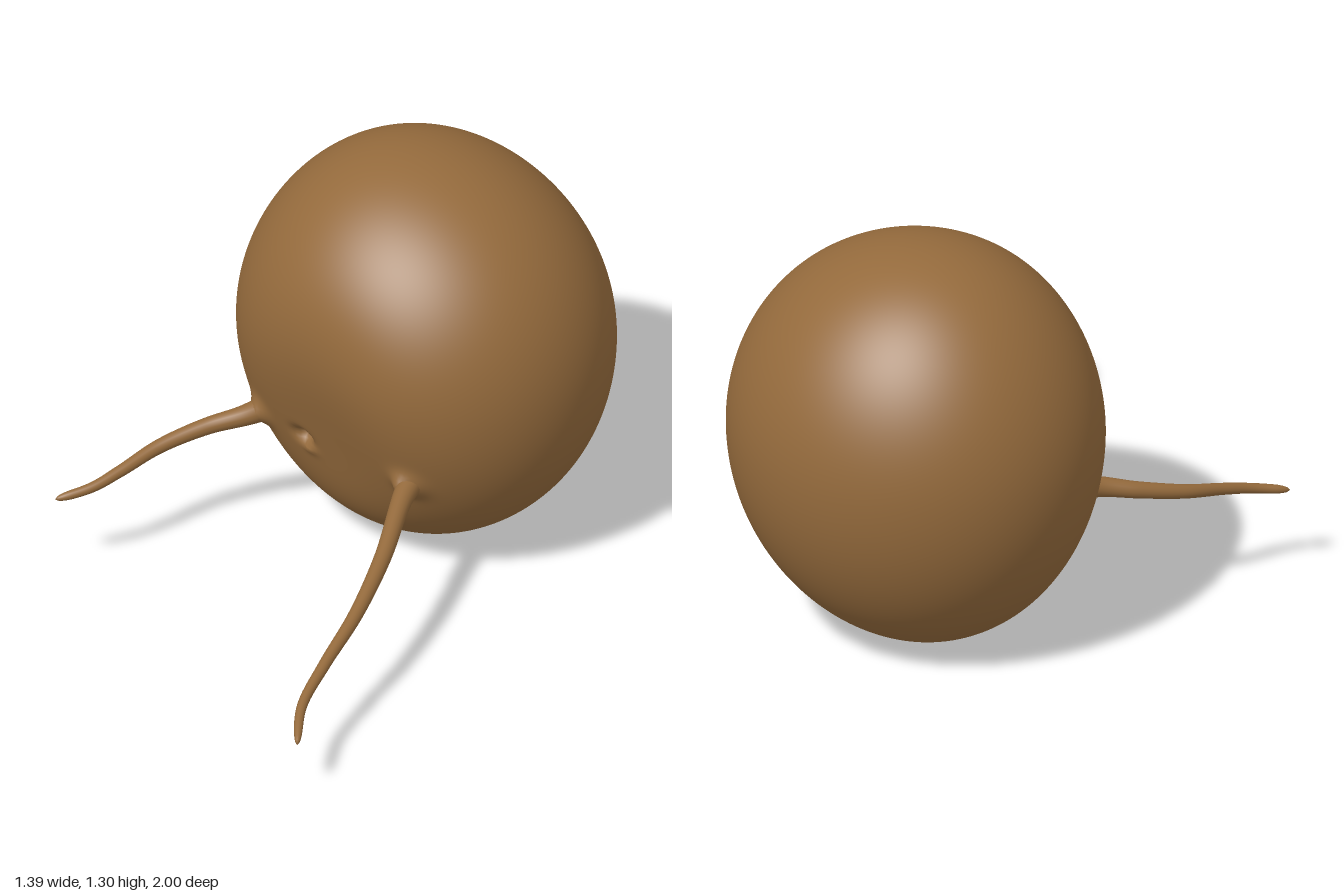
import * as THREE from 'three';
import { mergeVertices } from 'three/addons/utils/BufferGeometryUtils.js';

const brown = new THREE.MeshStandardMaterial({ color: 0x946a3c });
brown.name = 'brown';

// Smooth bump of height 1 around a point on the front face
const bump = (x, y, cx, cy, sx, sy = sx) => Math.exp(-(((x - cx) / sx) ** 2) - ((y - cy) / sy) ** 2);

// Round body: an ellipsoid pressed in at the middle of its front, with a mouth dimple and raised arm roots
function makeBody() {
  let geo = new THREE.SphereGeometry(1, 240, 160);
  geo.deleteAttribute('uv');
  geo.deleteAttribute('normal');
  geo = mergeVertices(geo, 1e-5);
  const pos = geo.attributes.position;
  for (let i = 0; i < pos.count; i++) {
    const nx = pos.getX(i), ny = pos.getY(i), nz = pos.getZ(i);
    const x = -0.092 + nx * 0.603 - 0.035 * ny * ny * (1 - nx * nx);
    const y = 0.67 + ny * (ny > 0 ? 0.63 : 0.67);
    let z = -0.44 + nz * 0.56;
    if (nz > 0) {
      const front = THREE.MathUtils.smoothstep(nz, 0, 0.6);
      z -= front * 0.09 * bump(x, y, -0.1, 0.42, 0.32, 0.3);
      z -= front * 0.022 * bump(x, y, -0.1, 0.75, 0.25, 0.25);
      z += front * 0.05 * (bump(x, y, 0.205, 0.42, 0.042) + bump(x, y, -0.41, 0.42, 0.042));
      z -= front * 0.05 * bump(x, y, -0.214, 0.42, 0.032, 0.026);
      z += front * 0.016 * bump(x, y, -0.195, 0.388, 0.028, 0.02);
    }
    pos.setXYZ(i, x, y, z);
  }
  geo.computeVertexNormals();
  return geo;
}

// Tapering wavy arm: a tube whose rings are rescaled, slightly flared at the root and pointed at the tip
function makeArm(points) {
  const curve = new THREE.CatmullRomCurve3(points.map((p) => new THREE.Vector3(...p)));
  const segments = 80, sides = 20;
  const geo = new THREE.TubeGeometry(curve, segments, 1, sides, false);
  const pos = geo.attributes.position;
  const length = curve.getLength();
  const v = new THREE.Vector3(), c = new THREE.Vector3();
  for (let i = 0; i <= segments; i++) {
    const t = i / segments;
    curve.getPointAt(t, c);
    const taper = 0.033 - 0.02 * t;
    const flare = 0.012 * Math.exp(-(((t * length) / 0.13) ** 2));
    const tip = Math.sqrt(Math.max(0, 1 - Math.max(0, (t - 0.93) / 0.07) ** 2));
    for (let j = 0; j <= sides; j++) {
      const k = i * (sides + 1) + j;
      v.fromBufferAttribute(pos, k).sub(c).multiplyScalar((taper + flare) * tip).add(c);
      pos.setXYZ(k, v.x, v.y, v.z);
    }
  }
  geo.deleteAttribute('uv');
  geo.deleteAttribute('normal');
  const merged = mergeVertices(geo, 1e-5);
  merged.computeVertexNormals();
  return merged;
}

export function createModel() {
  const model = new THREE.Group();
  model.name = 'roundCreature';
  const add = (name, geo) => {
    const mesh = new THREE.Mesh(geo, brown);
    mesh.name = name;
    model.add(mesh);
  };

  add('body', makeBody());
  add('leftArm', makeArm([
    [0.18, 0.43, -0.13], [0.225, 0.417, 0.0], [0.36, 0.36, 0.25], [0.46, 0.31, 0.48],
    [0.53, 0.262, 0.7], [0.595, 0.225, 0.87], [0.694, 0.19, 1.0],
  ]));
  add('rightArm', makeArm([
    [-0.385, 0.43, -0.13], [-0.425, 0.417, 0.0], [-0.5, 0.392, 0.11], [-0.565, 0.358, 0.25],
    [-0.594, 0.325, 0.39], [-0.622, 0.3, 0.49], [-0.682, 0.278, 0.592],
  ]));
  return model;
}
